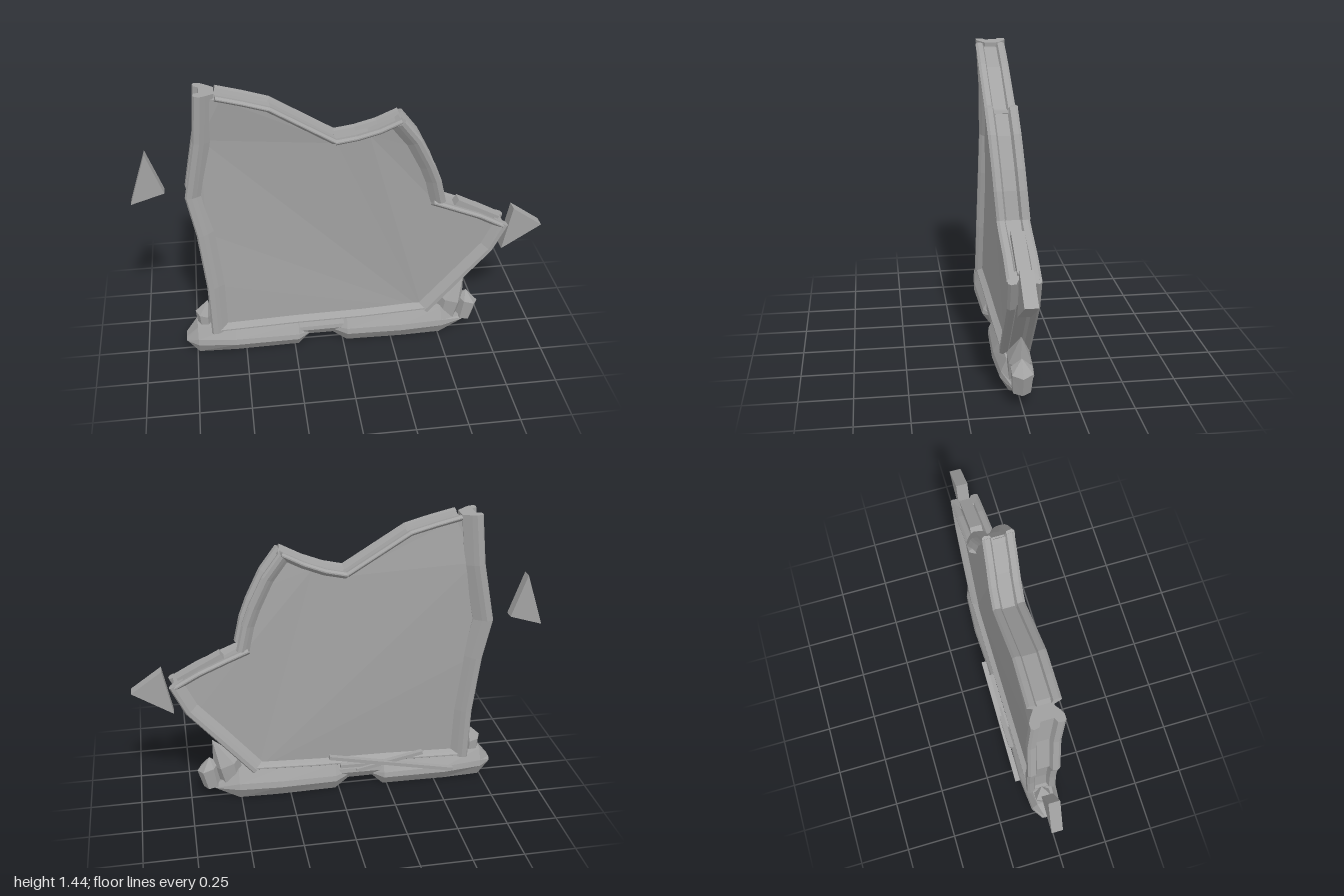
import * as THREE from 'three';

const stone = new THREE.MeshStandardMaterial({ color: 0xa3a3a3, flatShading: true });
stone.name = 'grey stone';

// Skin a series of matching rings; cap is the flat outline used to close both ends
function loft(rings, cap) {
  const n = cap.length, pos = rings.flat().flat(), idx = [];
  for (let r = 0; r < rings.length - 1; r++)
    for (let i = 0; i < n; i++) {
      const a = r * n + i, b = r * n + (i + 1) % n;
      idx.push(a, b, b + n, a, b + n, a + n);
    }
  const ccw = THREE.ShapeUtils.isClockWise(cap) ? -1 : 1;
  const last = (rings.length - 1) * n;
  for (const f of THREE.ShapeUtils.triangulateShape(cap, [])) {
    const area = (cap[f[1]].x - cap[f[0]].x) * (cap[f[2]].y - cap[f[0]].y)
      - (cap[f[2]].x - cap[f[0]].x) * (cap[f[1]].y - cap[f[0]].y);
    const [a, b, c] = area * ccw > 0 ? f : [f[0], f[2], f[1]];
    idx.push(a, c, b, last + a, last + b, last + c);
  }
  // Turn the faces outward
  let volume = 0;
  const p = i => new THREE.Vector3().fromArray(pos, i * 3);
  for (let i = 0; i < idx.length; i += 3)
    volume += p(idx[i]).dot(p(idx[i + 1]).cross(p(idx[i + 2])));
  if (volume < 0) idx.reverse();
  const g = new THREE.BufferGeometry();
  g.setAttribute('position', new THREE.Float32BufferAttribute(pos, 3));
  g.setIndex(idx);
  const flat = g.toNonIndexed();
  flat.computeVertexNormals();
  return flat;
}

const flat2 = pts => pts.map(p => new THREE.Vector2(p[0], p[1]));

// Plate with an outline of [x, y, middle z]
function plate(points, half) {
  const side = s => points.map(([x, y, z]) => [x, y, z + s * half]);
  return loft([side(1), side(-1)], flat2(points));
}

// Grooved rim: two flanges with a channel between, swept along a clockwise path
function rim(path, w, half = 0.075) {
  const front = [[-w * 1.7, 0.036], [-w, half - 0.012], [-w * 0.6, half],
    [-0.008, half], [0, half - 0.012], [-0.004, half - 0.036], [-0.026, half - 0.046]];
  const section = [...front, ...front.slice().reverse().map(([n, z]) => [n, -z])];
  const rings = path.map(([x, y, z], i) => {
    const a = path[Math.max(i - 1, 0)], b = path[Math.min(i + 1, path.length - 1)];
    const dx = b[0] - a[0], dy = b[1] - a[1], l = Math.hypot(dx, dy);
    return section.map(([n, d]) => [x - dy / l * n, y + dx / l * n, z + d]);
  });
  return loft(rings, flat2(section));
}

// Boulder lying along x; each station is [x, bottom, top, half depth]
function boulder(stations) {
  const section = [[-0.5, 0], [0.5, 0], [1, 0.42], [0.95, 0.62], [0.62, 1],
    [-0.62, 1], [-0.95, 0.62], [-1, 0.42]];
  return loft(stations.map(([x, lo, hi, d]) =>
    section.map(([u, v]) => [x, lo + v * (hi - lo), u * d])), flat2(section));
}

// Pointed six-sided crystal through base, shoulder and tip
function crystal(base, shoulder, tip, rx, rz, z = 0) {
  const ring = [...Array(6)].map((_, i) =>
    [Math.cos(i * Math.PI / 3), Math.sin(i * Math.PI / 3)]);
  const level = ([x, y], s, tilt) => ring.map(([u, v]) =>
    [x + u * rx * s, y - u * rx * s * tilt, z + v * rz * s]);
  return loft([level(base, 0.85, 0.2), level(shoulder, 1, 0.35), level(tip, 0.02, 0)], flat2(ring));
}

export function createModel() {
  const model = new THREE.Group();
  const add = (name, geometry) => {
    const mesh = new THREE.Mesh(geometry, stone);
    mesh.name = name;
    model.add(mesh);
    return mesh;
  };

  // Broken slab
  add('slabPanel', plate([
    [-0.63, 0.15, 0], [-0.64, 0.4, -0.01], [-0.66, 0.7, -0.025], [-0.69, 0.91, -0.035],
    [-0.65, 1.2, -0.03], [-0.62, 1.41, -0.015], [-0.55, 1.41, 0], [-0.33, 1.35, 0.005],
    [-0.03, 1.16, 0.005], [0.12, 1.2, 0.025], [0.25, 1.26, 0.042], [0.35, 1.12, 0.035],
    [0.42, 0.95, 0.025], [0.45, 0.81, 0.015], [0.77, 0.65, 0.012], [0.7, 0.5, 0.008],
    [0.56, 0.33, 0.003], [0.41, 0.16, 0]], 0.042));

  // Rims around the slab
  add('leftRim', rim([[-0.67, 0.13, 0], [-0.675, 0.4, -0.01], [-0.705, 0.7, -0.025],
    [-0.745, 0.91, -0.037], [-0.69, 1.2, -0.03], [-0.67, 1.44, -0.015]], 0.055));
  add('topLeftRim', rim([[-0.57, 1.435, -0.005], [-0.45, 1.405, 0],
    [-0.33, 1.37, 0.005], [-0.03, 1.185, 0.005]], 0.022));
  add('topMiddleRim', rim([[-0.04, 1.185, 0.005], [0.06, 1.205, 0.015],
    [0.16, 1.24, 0.03], [0.26, 1.29, 0.042]], 0.024));
  add('upperRightRim', rim([[0.28, 1.285, 0.044], [0.36, 1.18, 0.038],
    [0.43, 1.04, 0.03], [0.465, 0.95, 0.025], [0.495, 0.825, 0.016]], 0.045));
  add('shoulderRim', rim([[0.44, 0.83, 0.014], [0.55, 0.785, 0.014],
    [0.68, 0.73, 0.012], [0.8, 0.665, 0.012]], 0.024));
  add('shoulderLedge', plate([[0.55, 0.77, 0.01], [0.57, 0.8, 0.01],
    [0.78, 0.69, 0.01], [0.77, 0.66, 0.01]], 0.03));
  add('lowerRightRim', rim([[0.82, 0.655, 0.012], [0.75, 0.51, 0.008],
    [0.62, 0.36, 0.004], [0.44, 0.15, 0]], 0.045, 0.072));
  add('bottomRim', rim([[0.43, 0.165, 0], [0.1, 0.15, 0],
    [-0.25, 0.145, 0], [-0.66, 0.13, 0]], 0.025, 0.068));

  // Boulders under the slab
  add('leftBoulder', boulder([[-0.8, 0.06, 0.09, 0.035], [-0.74, 0, 0.16, 0.075],
    [-0.55, 0, 0.15, 0.092], [-0.23, 0, 0.135, 0.08], [-0.165, 0.055, 0.085, 0.035]]));
  add('rightBoulder', boulder([[-0.06, 0.05, 0.12, 0.04], [0.02, 0, 0.15, 0.08],
    [0.3, 0, 0.16, 0.092], [0.51, 0, 0.16, 0.08], [0.63, 0.055, 0.08, 0.035]]));
  add('middleBoulder', boulder([[-0.3, 0.05, 0.15, 0.06], [-0.1, 0.05, 0.155, 0.06],
    [0.08, 0.05, 0.16, 0.06]]));

  // Crystals at the ends
  add('tallCrystal', crystal([0.54, 0.07], [0.565, 0.195], [0.63, 0.325], 0.067, 0.06));
  add('shortCrystal', crystal([0.64, 0.07], [0.66, 0.175], [0.65, 0.228], 0.053, 0.055));
  add('leftCrystal', crystal([-0.7, 0.12], [-0.705, 0.21], [-0.68, 0.285], 0.04, 0.045, -0.01));

  // Splinters lying across the back
  const splinters = [[0.06, 0.225, -0.58, 0.09], [-0.08, 0.13, -0.42, 0.2], [0.0, 0.155, -0.3, 0.15]];
  splinters.forEach(([x1, y1, x2, y2], i) => {
    const bar = add('backSplinter' + (i + 1),
      new THREE.BoxGeometry(Math.hypot(x2 - x1, y2 - y1), 0.018, 0.024));
    bar.position.set((x1 + x2) / 2, (y1 + y2) / 2, -0.105 + i * 0.012);
    bar.rotation.z = Math.atan2(y1 - y2, x1 - x2);
  });

  // Loose shards
  add('rightShard', plate([[-1, 0.86, -0.055], [-0.915, 1.12, -0.055], [-0.84, 0.91, -0.055]], 0.026));
  add('leftShard', plate([[0.85, 0.73, 0.013], [1, 0.625, 0.013], [0.805, 0.5, 0.013]], 0.03));

  return model;
}
